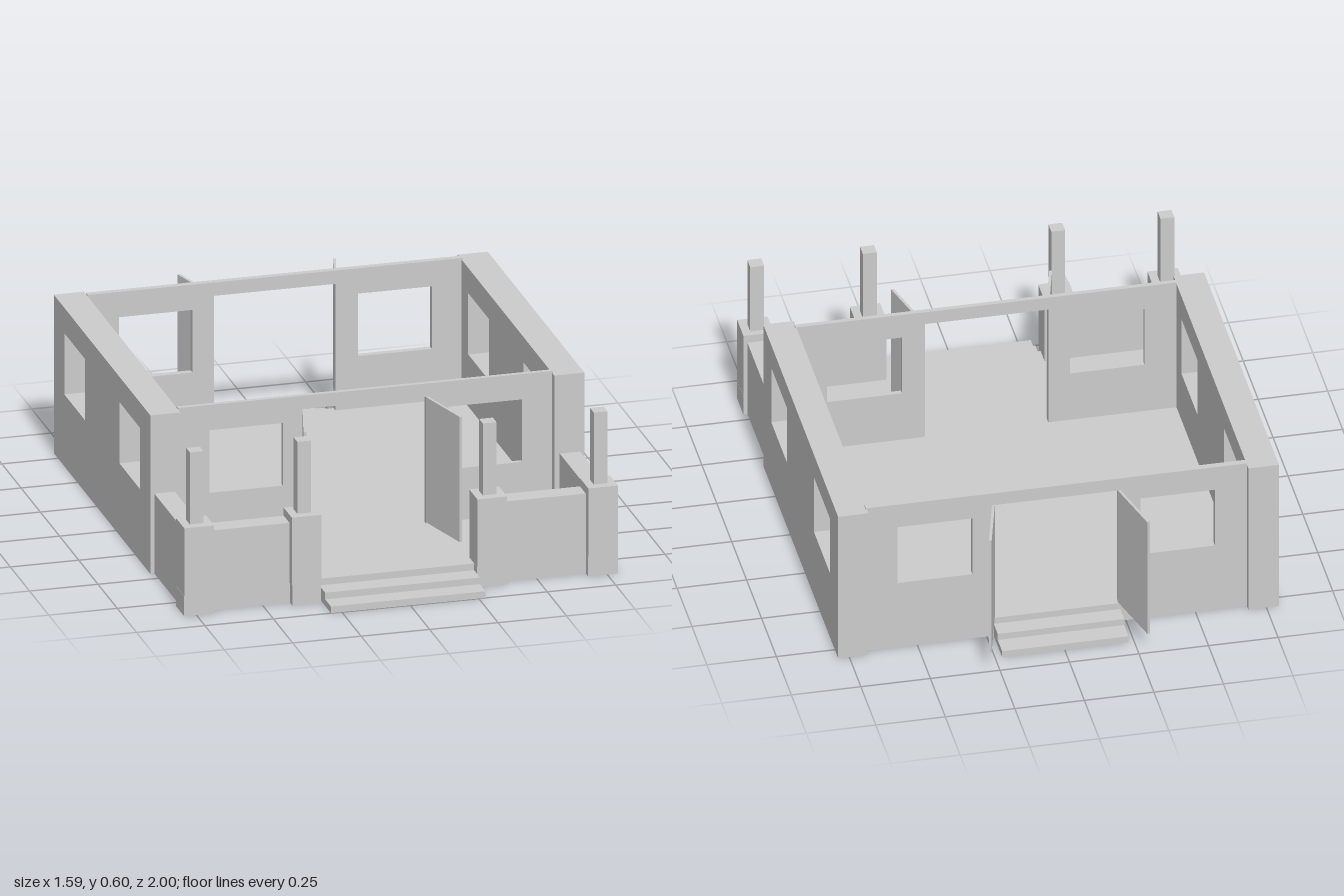
import * as THREE from 'three';

const FLOOR = 0.075;

export function createModel() {
  const group = new THREE.Group();
  const solid = new THREE.MeshStandardMaterial({ color: 0xcccccc, flatShading: true });
  const sheet = new THREE.MeshStandardMaterial({ color: 0xcccccc, flatShading: true, side: THREE.DoubleSide });

  const add = (name, geometry, material = solid) => {
    const mesh = new THREE.Mesh(geometry, material);
    mesh.name = name;
    group.add(mesh);
    return mesh;
  };

  // Box given by its extents
  const box = (name, x0, x1, y0, y1, z0, z1) =>
    add(name, new THREE.BoxGeometry(x1 - x0, y1 - y0, z1 - z0)
      .translate((x0 + x1) / 2, (y0 + y1) / 2, (z0 + z1) / 2));

  // Hollow slab, open below: a flat top over a vertical skirt, outline in [x, z]
  const hollowSlab = (name, outline, height) => {
    const shape = new THREE.Shape(outline.map(([x, z]) => new THREE.Vector2(x, -z)));
    add(name + 'Top', new THREE.ShapeGeometry(shape).rotateX(-Math.PI / 2).translate(0, height, 0), sheet);
    const pos = [];
    outline.forEach(([x0, z0], i) => {
      const [x1, z1] = outline[(i + 1) % outline.length];
      pos.push(x0, 0, z0, x1, 0, z1, x1, height, z1, x0, 0, z0, x1, height, z1, x0, height, z0);
    });
    const skirt = new THREE.BufferGeometry();
    skirt.setAttribute('position', new THREE.Float32BufferAttribute(pos, 3));
    skirt.computeVertexNormals();
    add(name + 'Skirt', skirt, sheet);
  };
  const rect = (x0, x1, z0, z1) => [[x0, z0], [x0, z1], [x1, z1], [x1, z0]];

  // Wall outline with rectangular window holes [u0, u1, v0, v1]
  const wallGeometry = (outline, windows, depth) => {
    const shape = new THREE.Shape(outline.map(([u, v]) => new THREE.Vector2(u, v)));
    for (const [u0, u1, v0, v1] of windows) {
      shape.holes.push(new THREE.Path([[u0, v0], [u0, v1], [u1, v1], [u1, v0]]
        .map(([u, v]) => new THREE.Vector2(u, v))));
    }
    return new THREE.ExtrudeGeometry(shape, { depth, bevelEnabled: false });
  };

  // Floor of house and porch, following the footprint of walls and posts
  hollowSlab('floor', [
    [-0.795, -0.805], [-0.795, 0.45], [-0.78, 0.45], [-0.78, 0.785], [-0.795, 0.785], [-0.795, 0.89],
    [-0.685, 0.89], [-0.685, 0.86], [-0.4, 0.86], [-0.4, 0.89], [-0.295, 0.89], [-0.295, 0.85],
    [0.275, 0.85], [0.275, 0.89], [0.385, 0.89], [0.385, 0.86], [0.68, 0.86], [0.68, 0.89],
    [0.79, 0.89], [0.79, 0.785], [0.775, 0.785], [0.775, 0.45], [0.79, 0.45], [0.79, -0.805],
    [0.685, -0.805], [0.685, -0.78], [-0.685, -0.78], [-0.685, -0.805],
  ], FLOOR);
  add('innerRiser', new THREE.PlaneGeometry(1.4, FLOOR).translate(0, FLOOR / 2, 0.785), sheet);

  // Steps at both doors
  hollowSlab('frontMiddleStep', rect(-0.29, 0.275, 0.85, 0.926), 0.05);
  hollowSlab('frontLowerStep', rect(-0.29, 0.275, 0.926, 1), 0.025);
  hollowSlab('backUpperStep', rect(-0.23, 0.225, -0.846, -0.78), 0.05);
  hollowSlab('backLowerStep', rect(-0.23, 0.225, -0.92, -0.846), 0.025);

  // Thick side walls with two windows each
  const sideOutline = [[-0.805, FLOOR], [0.45, FLOOR], [0.45, 0.595], [-0.805, 0.595]];
  const sideWindows = [[0.048, 0.316, 0.27, 0.5], [-0.668, -0.4, 0.27, 0.5]];
  for (const [name, x] of [['leftWall', 0.79], ['rightWall', -0.685]]) {
    add(name, wallGeometry(sideOutline, sideWindows, 0.11).rotateY(-Math.PI / 2).translate(x, 0, 0));
  }

  // Thin front and back walls with a doorway between two windows
  const endOutline = [
    [-0.685, FLOOR], [-0.224, FLOOR], [-0.224, 0.55], [0.22, 0.55],
    [0.22, FLOOR], [0.685, FLOOR], [0.685, 0.6], [-0.685, 0.6],
  ];
  const endWindows = [[-0.57, -0.302, 0.27, 0.505], [0.302, 0.572, 0.27, 0.505]];
  add('frontWall', wallGeometry(endOutline, endWindows, 0.018).translate(0, 0, 0.4));
  add('backWall', wallGeometry(endOutline, endWindows, 0.024).translate(0, 0, -0.78));

  // Double doors, swung open outwards
  for (const [end, z, dir] of [['front', 0.418, 1], ['back', -0.775, -1]]) {
    for (const [side, s] of [['Left', 1], ['Right', -1]]) {
      const door = add(`${end}${side}Door`,
        new THREE.BoxGeometry(0.01, 0.47, 0.232).translate(0, 0.315, dir * 0.116));
      door.position.set(s * 0.225, 0, z);
      door.rotation.y = s * dir * 0.26;
    }
  }

  // Porch parapets
  box('rightParapet', -0.78, -0.705, FLOOR, 0.3, 0.45, 0.785);
  box('leftParapet', 0.7, 0.775, FLOOR, 0.3, 0.45, 0.785);
  box('frontRightParapet', -0.685, -0.4, FLOOR, 0.3, 0.785, 0.86);
  box('frontLeftParapet', 0.385, 0.68, FLOOR, 0.3, 0.785, 0.86);

  // Porch posts: square pedestals carrying slim columns
  for (const x of [-0.74, -0.3475, 0.33, 0.735]) {
    box('pedestal', x - 0.0545, x + 0.0545, FLOOR, 0.33, 0.785, 0.89);
    box('column', x - 0.025, x + 0.025, 0.33, 0.6, 0.809, 0.857);
  }

  return group;
}
